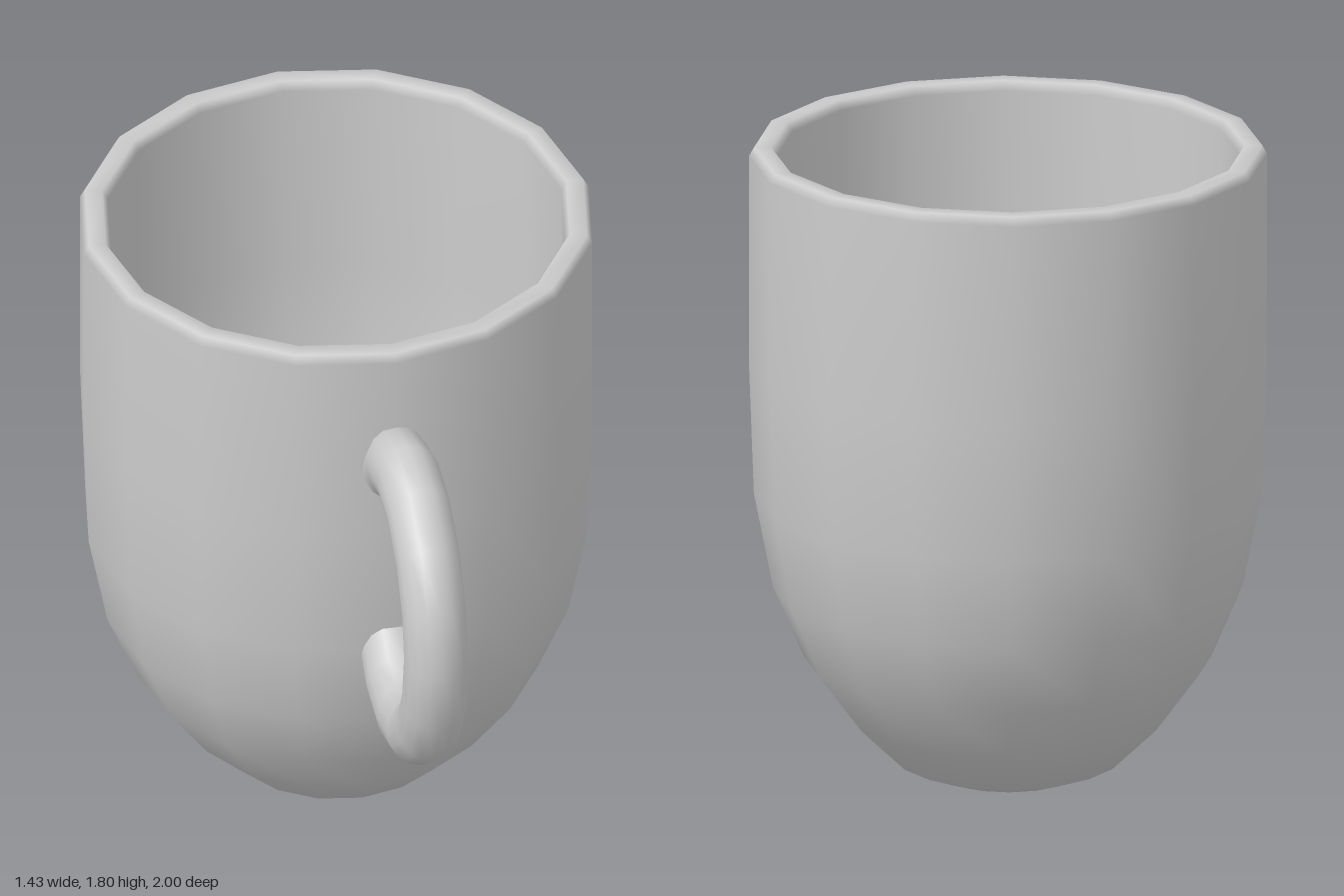
import * as THREE from 'three';

const CUP_Z = -0.285; // axis of the cup, pushed back to make room for the handle

export function createModel() {
  const model = new THREE.Group();
  model.name = 'mug';
  const material = new THREE.MeshStandardMaterial({ color: 0xcccccc });

  // Cup: one closed profile, outside from base to rim, then down the inside
  const profile = [
    [0, 0], [0.19, 0], [0.31, 0.045], [0.44, 0.17], [0.565, 0.34], [0.65, 0.54],
    [0.703, 0.81], [0.717, 1.2], [0.717, 1.78],
    [0.703, 1.805], [0.655, 1.805], [0.64, 1.78],
    [0.64, 1.2], [0.628, 0.83], [0.58, 0.57], [0.5, 0.39], [0.39, 0.235],
    [0.27, 0.12], [0.16, 0.08], [0, 0.08],
  ].map(([r, y]) => new THREE.Vector2(r, y));
  const cup = new THREE.Mesh(new THREE.LatheGeometry(profile, 16), material);
  cup.name = 'cup';
  cup.position.z = CUP_Z;
  model.add(cup);

  // Handle: three quarters of a ring, narrowed in depth, facing +z
  const ring = new THREE.TorusGeometry(0.395, 0.105, 16, 12, Math.PI * 1.5);
  ring.rotateZ(-Math.PI * 0.75);
  ring.rotateY(-Math.PI / 2);
  ring.scale(0.86, 1, 0.84);
  ring.translate(0, 1.1, 0.58);

  // Stop the ends inside the thickness of the cup wall
  const pos = ring.attributes.position;
  for (let i = 0; i < pos.count; i++) pos.setZ(i, Math.max(pos.getZ(i), 0.37));

  const handle = new THREE.Mesh(ring, material);
  handle.name = 'handle';
  model.add(handle);

  return model;
}
